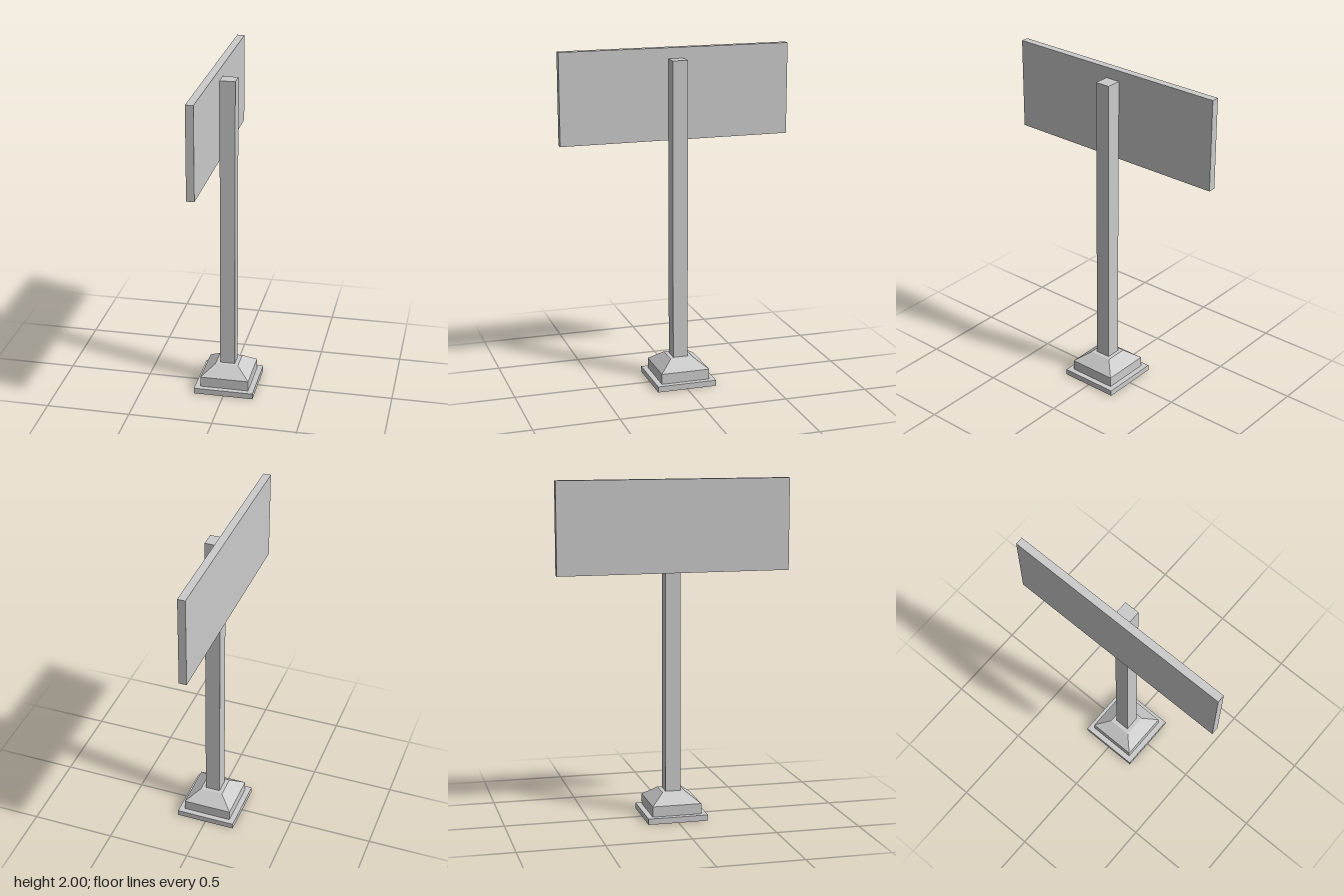
import * as THREE from 'three';

const material = new THREE.MeshStandardMaterial({ color: 0xcccccc, flatShading: true });
const shellMaterial = new THREE.MeshStandardMaterial({
  color: 0xcccccc, flatShading: true, side: THREE.DoubleSide,
});

// Box given by its lower and upper corners
function box(name, [x0, y0, z0], [x1, y1, z1]) {
  const mesh = new THREE.Mesh(new THREE.BoxGeometry(x1 - x0, y1 - y0, z1 - z0), material);
  mesh.position.set((x0 + x1) / 2, (y0 + y1) / 2, (z0 + z1) / 2);
  mesh.name = name;
  return mesh;
}

export function createModel() {
  const group = new THREE.Group();
  group.name = 'signPost';

  // Hollow stepped foot, open underneath: [half width, height] swept round four sides
  const profile = [
    [0.18, 0], [0.18, 0.035], [0.147, 0.035], [0.147, 0.097], [0.069, 0.157], [0, 0.157],
  ].map(([half, y]) => new THREE.Vector2(half * Math.SQRT2, y));
  const foot = new THREE.Mesh(
    new THREE.LatheGeometry(profile, 4, Math.PI / 4).toNonIndexed(), shellMaterial);
  foot.geometry.computeVertexNormals();
  foot.name = 'foot';
  group.add(foot);

  // Square post standing on the foot
  group.add(box('post', [-0.045, 0.157, -0.045], [0.045, 1.937, 0.045]));

  // Flat sign board fixed to the right side of the post
  group.add(box('signBoard', [-0.091, 1.462, -0.687], [-0.046, 2, 0.687]));

  return group;
}
